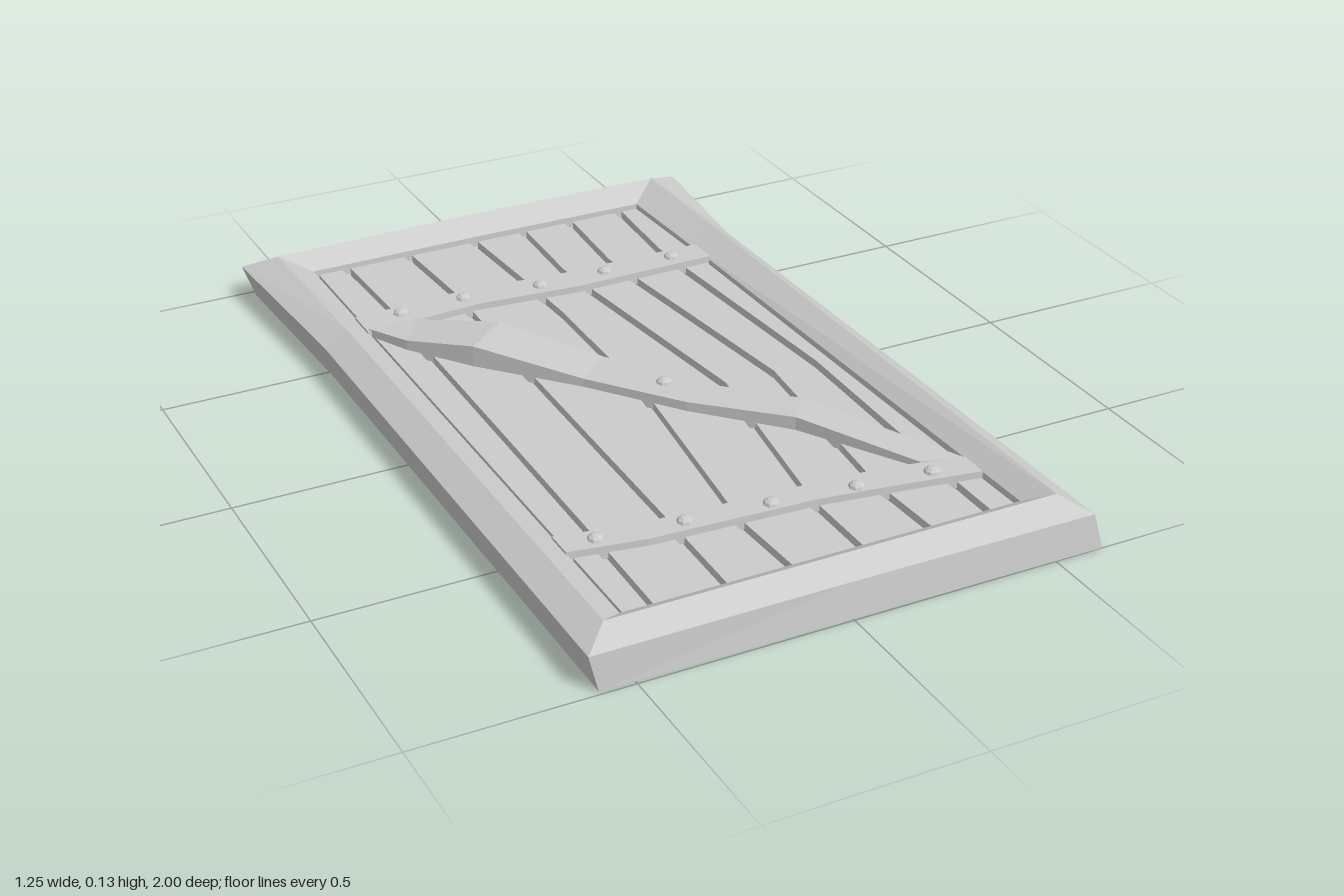
import * as THREE from 'three';

const material = new THREE.MeshStandardMaterial({ color: 0xcccccc, flatShading: true });

// Joins closed rings of [x, y, z] points in order and caps both ends.
function loft(rings) {
  const pos = [];
  const tri = (a, b, c) => pos.push(...a, ...b, ...c);
  const n = rings[0].length;
  for (let i = 0; i < rings.length - 1; i++) {
    for (let j = 0; j < n; j++) {
      const k = (j + 1) % n;
      const [a, b, c, d] = [rings[i][j], rings[i][k], rings[i + 1][k], rings[i + 1][j]];
      tri(a, b, c);
      tri(a, c, d);
    }
  }
  const cap = (ring, flip) => {
    const mid = [0, 1, 2].map(m => ring.reduce((s, p) => s + p[m], 0) / n);
    ring.forEach((p, j) => {
      const q = ring[(j + 1) % n];
      flip ? tri(mid, q, p) : tri(mid, p, q);
    });
  };
  cap(rings[0], true);
  cap(rings[rings.length - 1], false);
  const geometry = new THREE.BufferGeometry();
  geometry.setAttribute('position', new THREE.Float32BufferAttribute(pos, 3));
  geometry.computeVertexNormals();
  return geometry;
}

// Crooked board; each station is [leftX, leftZ, rightX, rightZ, topY].
function board(stations, bottom) {
  return loft(stations.map(([lx, lz, rx, rz, top]) => [
    [lx, bottom, lz], [rx, bottom, rz], [rx, top, rz], [lx, top, lz],
  ]));
}

export function createModel() {
  const group = new THREE.Group();
  const add = (geometry, name, parent = group) => {
    const mesh = new THREE.Mesh(geometry, material);
    mesh.name = name;
    parent.add(mesh);
    return mesh;
  };
  const subgroup = name => {
    const g = new THREE.Group();
    g.name = name;
    group.add(g);
    return g;
  };

  // Frame with bevelled rim and closed back, anticlockwise from the front left corner
  const rim = [
    [0, [[-0.58, 0.99], [0, 0.995], [0.62, 1], [0.585, -0.6], [0.625, -0.99], [0, -0.995], [-0.6, -0.98], [-0.58, -0.47]]],
    [0.085, [[-0.6, 0.985], [0, 0.985], [0.6, 0.99], [0.575, -0.6], [0.615, -0.995], [0, -1], [-0.63, -0.985], [-0.6, -0.47]]],
    [0.12, [[-0.54, 0.93], [0, 0.93], [0.54, 0.93], [0.525, -0.6], [0.52, -0.94], [0, -0.945], [-0.55, -0.93], [-0.54, -0.47]]],
    [0.083, [[-0.475, 0.87], [0, 0.87], [0.49, 0.87], [0.455, -0.6], [0.445, -0.88], [0, -0.885], [-0.475, -0.88], [-0.475, -0.47]]],
    [0.055, [[-0.475, 0.87], [0, 0.87], [0.49, 0.87], [0.455, -0.6], [0.445, -0.88], [0, -0.885], [-0.475, -0.88], [-0.475, -0.47]]],
  ];
  add(loft(rim.map(([y, pts]) => pts.map(([x, z]) => [x, y, z]))), 'frame');

  // Planks between wavering seams, each seam sampled at the same depths
  const depths = [-0.87, -0.62, -0.4, 0.1, 0.65, 0.869];
  const seams = [
    [-0.475, -0.475, -0.475, -0.475, -0.475, -0.475],
    [-0.39, -0.383, -0.386, -0.392, -0.4, -0.405],
    [-0.22, -0.206, -0.21, -0.22, -0.23, -0.235],
    [-0.035, -0.02, -0.01, -0.02, -0.09, -0.08],
    [0.105, 0.095, 0.12, 0.175, 0.09, 0.09],
    [0.24, 0.225, 0.25, 0.305, 0.25, 0.26],
    [0.385, 0.37, 0.385, 0.42, 0.41, 0.41],
    [0.45, 0.46, 0.465, 0.475, 0.487, 0.492],
  ];
  const planks = subgroup('planks');
  const gap = 0.011;
  for (let i = 0; i < seams.length - 1; i++) {
    const stations = depths.map((z, j) => [seams[i][j] + gap, z, seams[i + 1][j] - gap, z, 0.075]);
    add(board(stations, 0.05), 'plank', planks);
  }

  // Cross battens and the bent diagonal brace
  const batten = rows => board(rows.map(([x, near, far]) => [x, near, x, far, 0.092]), 0.06);
  add(batten([
    [-0.48, -0.49, -0.575], [-0.38, -0.492, -0.58], [-0.18, -0.507, -0.592],
    [0.08, -0.485, -0.57], [0.46, -0.49, -0.57],
  ]), 'backBatten');
  add(batten([
    [-0.48, 0.63, 0.56], [-0.3, 0.66, 0.595], [0.1, 0.68, 0.615],
    [0.3, 0.71, 0.63], [0.48, 0.74, 0.67],
  ]), 'frontBatten');
  add(board([
    [-0.475, -0.5, -0.35, -0.5, 0.094],
    [-0.42, -0.39, -0.32, -0.46, 0.1],
    [-0.31, -0.24, -0.2, -0.33, 0.128],
    [-0.12, -0.03, -0.03, -0.11, 0.096],
    [0.04, 0.18, 0.13, 0.13, 0.098],
    [0.22, 0.37, 0.28, 0.3, 0.108],
    [0.38, 0.64, 0.48, 0.67, 0.09],
  ], 0.06), 'diagonalBrace');

  // Domed rivets
  const dome = new THREE.SphereGeometry(0.021, 8, 3, 0, Math.PI * 2, 0, Math.PI / 2);
  const rivets = subgroup('rivets');
  const spots = [
    [-0.37, -0.545], [-0.2, -0.552], [0, -0.53], [0.18, -0.53], [0.37, -0.53],
    [-0.4, 0.61], [-0.2, 0.632], [0, 0.65], [0.2, 0.672], [0.38, 0.692],
    [0.04, 0.07],
  ];
  spots.forEach(([x, z], i) => {
    const rivet = add(dome, 'rivet', rivets);
    rivet.position.set(x, i === 10 ? 0.096 : 0.091, z);
    rivet.scale.y = 0.7;
  });

  return group;
}
